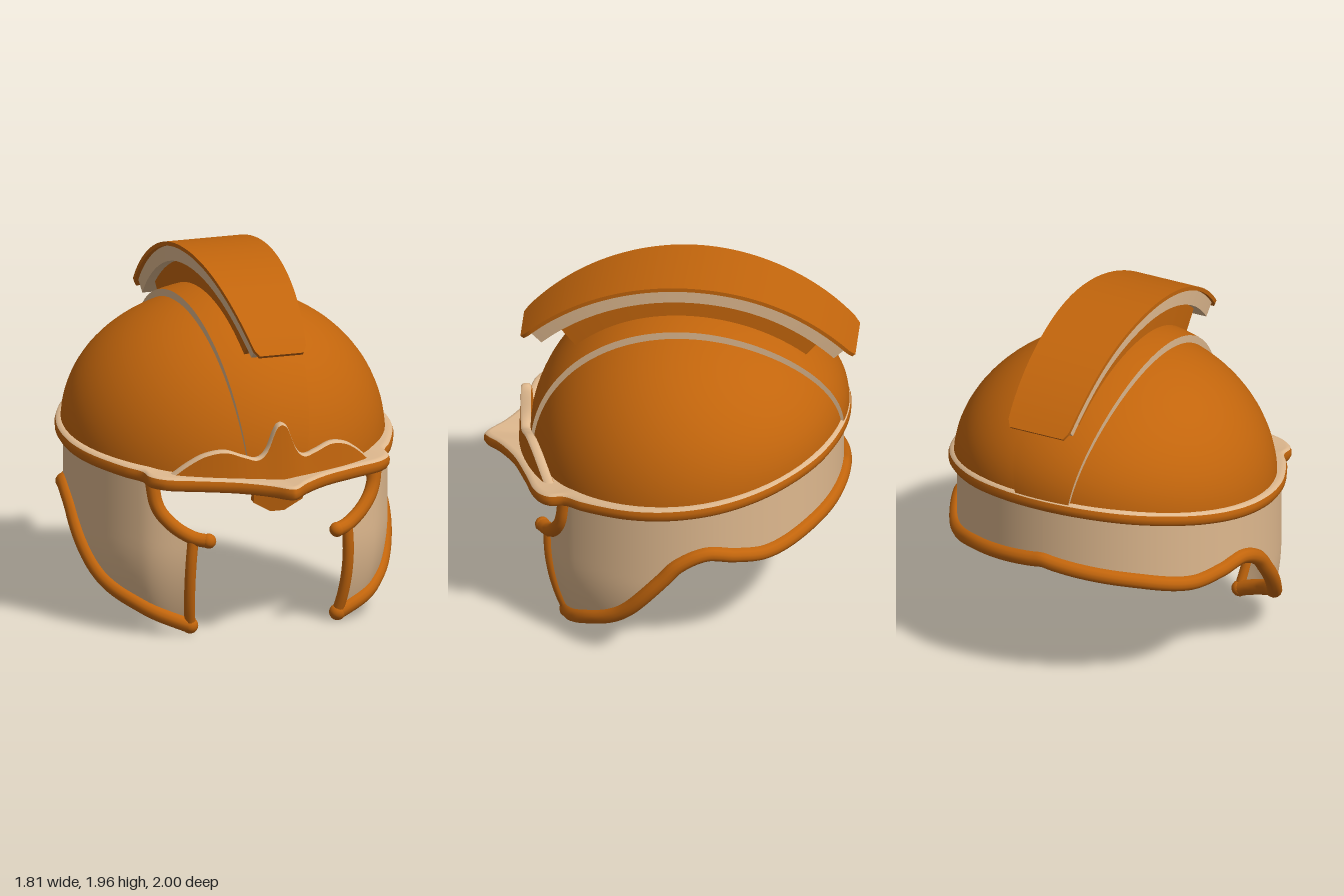
import * as THREE from 'three';
import { mergeVertices, toCreasedNormals } from 'three/addons/utils/BufferGeometryUtils.js';

const material = (name, color) => {
  const m = new THREE.MeshStandardMaterial({ color, side: THREE.DoubleSide });
  m.name = name;
  return m;
};

// Smooth curve through a short table of [x, y] pairs
function smooth(table, x) {
  const n = table.length;
  if (x <= table[0][0]) return table[0][1];
  if (x >= table[n - 1][0]) return table[n - 1][1];
  let i = 0;
  while (table[i + 1][0] < x) i++;
  const slope = (k) => {
    const a = table[Math.max(k - 1, 0)], b = table[Math.min(k + 1, n - 1)];
    return (b[1] - a[1]) / (b[0] - a[0]);
  };
  const [x0, y0] = table[i], [x1, y1] = table[i + 1];
  const h = x1 - x0, t = (x - x0) / h, t2 = t * t, t3 = t2 * t;
  return (2 * t3 - 3 * t2 + 1) * y0 + (t3 - 2 * t2 + t) * h * slope(i)
    + (3 * t2 - 2 * t3) * y1 + (t3 - t2) * h * slope(i + 1);
}

// Surface over a grid; fn(u, v) gives [x, y, z]
function grid(nu, nv, fn) {
  const pos = [], idx = [];
  for (let i = 0; i <= nu; i++)
    for (let j = 0; j <= nv; j++) pos.push(...fn(i / nu, j / nv));
  for (let i = 0; i < nu; i++)
    for (let j = 0; j < nv; j++) {
      const a = i * (nv + 1) + j, b = a + nv + 1;
      idx.push(a, b, a + 1, b, b + 1, a + 1);
    }
  let g = new THREE.BufferGeometry();
  g.setAttribute('position', new THREE.Float32BufferAttribute(pos, 3));
  g.setIndex(idx);
  g = mergeVertices(g, 1e-5);
  g.computeVertexNormals();
  return g;
}

// Height of the sloping rim at depth z
const rimY = (z) => 0.945 - 0.1 * z + (z < 0 ? 0.075 * z * z : 0);

// Dome from a point on the unit hemisphere
const domePoint = (ux, s, uz) => {
  const z = -0.1 + 0.84 * uz;
  return [0.87 * ux, rimY(z) * (1 - s) + 1.71 * s, z];
};

// Neck and cheek guard surface; angle in degrees from the front
const lowEdge = [[36, 0.05], [53, 0.15], [72, 0.28], [86, 0.5], [93, 0.62], [103, 0.69],
  [113, 0.665], [126, 0.64], [148, 0.7], [180, 0.77]];
const eyeEdge = [[27, 0.54], [32, 0.55], [37, 0.585], [43, 0.66], [46.5, 0.75], [48, 0.88]];
function guardPoint(deg, y) {
  const a = THREE.MathUtils.degToRad(deg);
  const front = 1 - THREE.MathUtils.smoothstep(deg, 30, 52);
  const r = 0.865 - 0.06 * front - 0.5 * Math.max(0, 0.5 - y) ** 2;
  return [r * Math.sin(a), y, -0.06 + r * Math.cos(a)];
}
const topY = (deg) => deg < 48 ? smooth(eyeEdge, deg) : rimY(guardPoint(deg, 0.9)[2]);

export function createModel() {
  const orange = material('burnt orange', 0xc2650c);
  const tan = material('tan', 0xdeb88e);
  const group = new THREE.Group();
  const add = (name, geo, mat, parent = group) => {
    const m = new THREE.Mesh(geo, mat);
    m.name = name;
    parent.add(m);
    return m;
  };
  const tube = (name, pts, r, parent = group, caps = true) => {
    const v = pts.map((p) => new THREE.Vector3(...p));
    add(name, new THREE.TubeGeometry(new THREE.CatmullRomCurve3(v), pts.length * 4, r, 12), orange, parent);
    if (caps) for (const p of [v[0], v[v.length - 1]])
      add(name + 'End', new THREE.SphereGeometry(r * 1.06, 16, 12), orange, parent).position.copy(p);
  };

  // Dome and its lining
  const dome = (k) => grid(72, 28, (u, v) => {
    const a = u * Math.PI * 2, e = v * Math.PI / 2;
    return domePoint(k * Math.cos(e) * Math.sin(a), k * Math.sin(e), k * Math.cos(e) * Math.cos(a));
  });
  add('dome', dome(1), orange);
  add('domeLining', dome(0.975), tan);

  // Raised band over the dome, with pale edges
  const bandPoint = (a, side, lift) => {
    const ux = side * (0.155 + 0.11 * Math.sin(a)) / 0.87;
    const q = Math.sqrt(1 - ux * ux) * lift;
    return domePoint(ux, q * Math.sin(a), q * Math.cos(a));
  };
  const lift = (a) => 1.015 + 0.042 * Math.sin(a);
  add('domeBand', grid(60, 12, (u, v) => bandPoint(u * Math.PI, v * 2 - 1, lift(u * Math.PI))), orange);
  for (const s of [-1, 1])
    add('bandEdge', grid(60, 1, (u, v) => bandPoint(u * Math.PI, s, v ? lift(u * Math.PI) : 0.985)), tan);

  // Crest: three stacked arcs
  const crestWidth = [[-48.6, 0.16], [-47.5, 0.18], [-25, 0.21], [0, 0.225], [25, 0.2], [47, 0.145], [48.2, 0.125]];
  const arc = (r0, r1, end0, end1, k) => toCreasedNormals(grid(50, 4, (u, v) => {
    const t = Math.min(Math.max((u * 50 - 1) / 48, 0), 1);
    const deg = THREE.MathUtils.lerp(end0, end1, t), a = THREE.MathUtils.degToRad(deg);
    const cap = u === 0 || u === 1, j = Math.round(v * 4) % 4;
    const r = cap ? (r0 + r1) / 2 : (j < 2 ? r0 : r1);
    const x = cap ? 0 : (j === 0 || j === 3 ? -1 : 1) * k * smooth(crestWidth, deg);
    return [x, 0.765 + r * Math.cos(a), -0.1 + r * Math.sin(a)];
  }), 0.6);
  add('crestSupport', arc(0.94, 1.1, -40, 39, 0.62), orange);
  add('crestPadding', arc(1.095, 1.182, -45.8, 45.5, 0.88), tan);
  add('crestPlate', arc(1.178, 1.2, -48.6, 48.2, 1), orange);

  // Rim, widening into a pointed visor
  const half = [[0.03, 0.985], [0.1, 0.92], [0.25, 0.825], [0.45, 0.745], [0.62, 0.68], [0.685, 0.61],
    [0.695, 0.52], [0.76, 0.42], [0.87, 0.17], [0.905, -0.06], [0.87, -0.33], [0.74, -0.59],
    [0.5, -0.82], [0.25, -0.93]];
  const loop = [[0, 1], ...half, [0, -0.965], ...half.map(([x, z]) => [-x, z]).reverse()];
  const outline = new THREE.CatmullRomCurve3(loop.map(([x, z]) => new THREE.Vector3(x, 0, z)), true);
  const rimPart = (section) => grid(180, section.length - 1, (u, v) => {
    const p = outline.getPoint(u % 1), a = Math.atan2(p.x, p.z + 0.1);
    const len = Math.hypot(p.x, p.z + 0.1), sx = Math.sin(a), sz = Math.cos(a);
    const inner = 0.965 / Math.hypot(sx / 0.87, sz / 0.84);
    const [d, y] = section[Math.round(v * (section.length - 1))];
    const r = d === null ? inner : len - d;
    return [r * sx, rimY(p.z) + y, -0.1 + r * sz];
  });
  add('rimTop', rimPart([[null, 0.035], [0.035, 0.038], [0.016, 0.034], [0.006, 0.024]]), tan);
  add('rimEdge', rimPart([[0.006, 0.024], [0, 0.005], [0.002, -0.018], [0.014, -0.036], [0.035, -0.042], [null, -0.038]]), orange);

  // Wavy brow ornament standing on the visor
  const wave = [[0, 1.19], [0.03, 1.17], [0.08, 1.05], [0.13, 1.005], [0.2, 1.02], [0.3, 1.05], [0.4, 1.03],
    [0.48, 0.98], [0.56, 0.91]];
  const browPart = (section) => grid(96, section.length - 1, (u, v) => {
    const x = (u * 2 - 1) * 0.56, [d, y] = section[Math.round(v * (section.length - 1))];
    const top = smooth(wave, Math.abs(x));
    return [x, y === null ? 0.87 : top + y, 0.8 - 0.55 * x * x - d];
  });
  const brow = new THREE.Group();
  brow.name = 'brow';
  group.add(brow);
  add('browFront', browPart([[-0.01, null], [0, -0.012]]), orange, brow);
  add('browEdge', browPart([[0, -0.012], [0.012, 0], [0.04, 0], [0.055, -0.015]]), tan, brow);
  add('browBack', browPart([[0.055, -0.015], [0.08, null]]), orange, brow);

  // Small nose piece under the visor
  const noseShape = new THREE.Shape([[-0.14, 0.13], [-0.14, 0.06], [-0.04, 0], [0.04, 0], [0.14, 0.06], [0.14, 0.13]]
    .map(([x, y]) => new THREE.Vector2(x, y)));
  const nose = add('nosePiece', new THREE.ExtrudeGeometry(noseShape, { depth: 0.04, bevelEnabled: false }), orange);
  nose.position.set(0, 0.7, 0.685);
  nose.rotation.x = 0.22;

  // Neck guard and cheek plates
  for (const s of [1, -1]) {
    const side = new THREE.Group();
    side.name = s > 0 ? 'leftGuard' : 'rightGuard';
    group.add(side);
    const flip = ([x, y, z]) => [s * x, y, z];
    add('guardPlate', grid(110, 14, (u, v) => {
      const d0 = 36 + 144 * u, d1 = 33 + 147 * u;
      const y = THREE.MathUtils.lerp(smooth(lowEdge, d0), topY(d1), v);
      return flip(guardPoint(THREE.MathUtils.lerp(d0, d1, v), y));
    }), tan, side);
    tube('eyeTrim', [27, 30, 33, 37, 40, 43, 45, 46.5, 47.5, 48].map((d) => flip(guardPoint(d, smooth(eyeEdge, d)))), 0.038, side);
    tube('cheekFrontTrim', [0, 0.25, 0.5, 0.75, 1].map((t) => flip(guardPoint(36 - 3 * t, 0.05 + 0.49 * t))), 0.03, side, false);
  }

  // Continuous trim along the lower edge
  const lower = [];
  for (let d = 36; d <= 324; d += 4) {
    const m = d > 180 ? 360 - d : d, [x, y, z] = guardPoint(m, smooth(lowEdge, m));
    lower.push([d > 180 ? -x : x, y, z]);
  }
  tube('lowerTrim', lower, 0.042);
  return group;
}
